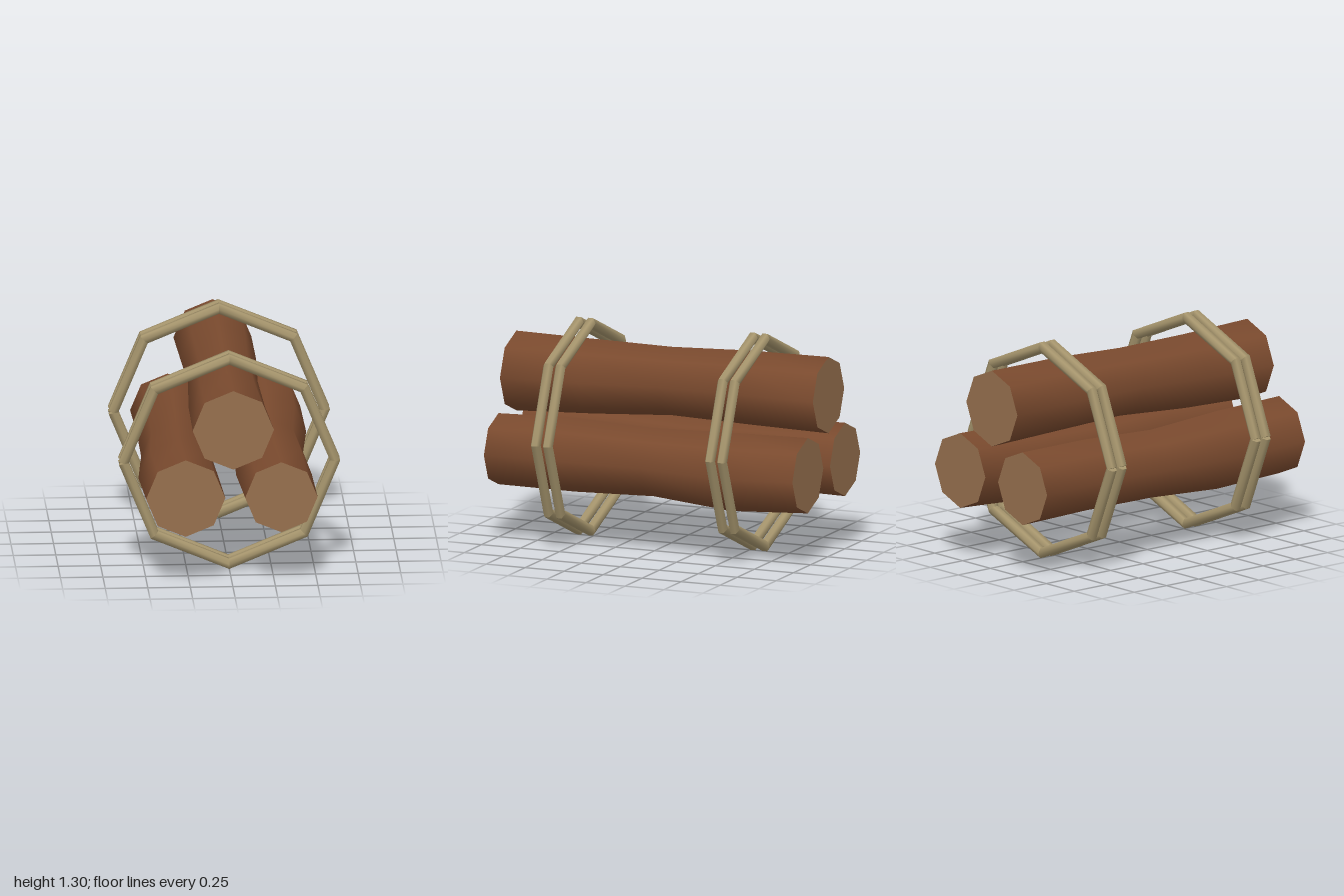
import * as THREE from 'three';
import { mergeGeometries } from 'three/addons/utils/BufferGeometryUtils.js';

const bark = new THREE.MeshStandardMaterial({ color: 0x7a4a2e });
const cutWood = new THREE.MeshStandardMaterial({ color: 0x96704e });
const rope = new THREE.MeshStandardMaterial({ color: 0xa5946c });

// Skin between closed cross-sections (arrays of Vector3, equal counts), smooth-shaded.
function loft(sections) {
  const n = sections[0].length;
  const index = [];
  for (let i = 0; i < sections.length - 1; i++) {
    for (let j = 0; j < n; j++) {
      const a = i * n + j, b = i * n + (j + 1) % n;
      index.push(a, a + n, b, a + n, b + n, b);
    }
  }
  const geo = new THREE.BufferGeometry().setFromPoints(sections.flat());
  geo.setIndex(index);
  geo.computeVertexNormals();
  return geo;
}

// Octagonal log through stations [x, y, z, radius], listed front to back.
function makeLog(name, stations) {
  const log = new THREE.Group();
  log.name = name;
  const sections = stations.map(([x, y, z, r]) =>
    Array.from({ length: 8 }, (_, k) => {
      const a = k * Math.PI / 4;
      return new THREE.Vector3(x + r * Math.cos(a), y + r * Math.sin(a), z);
    }));
  const side = new THREE.Mesh(loft(sections), bark);
  side.name = 'bark';
  log.add(side);

  // Sawn ends
  [stations[0], stations[stations.length - 1]].forEach(([x, y, z, r], i) => {
    const end = new THREE.Mesh(new THREE.CircleGeometry(r, 8), cutWood);
    end.name = i ? 'backCut' : 'frontCut';
    end.position.set(x, y, z);
    if (i) end.rotation.y = Math.PI;
    log.add(end);
  });
  return log;
}

// Eight straight hexagonal pieces, mitred at the corners, with a square-cut seam on the -x side.
function makeRopeGeometry(radius, thickness) {
  const step = Math.PI / 4, miter = 1 / Math.cos(step / 2);
  const polar = (a, r) => new THREE.Vector3(Math.cos(a) * r, Math.sin(a) * r, 0);
  const section = (corner, normalAngle, stretch) =>
    Array.from({ length: 6 }, (_, k) => {
      const a = Math.PI / 6 + k * Math.PI / 3;
      const p = polar(corner, radius).add(polar(normalAngle, thickness * Math.cos(a) * stretch));
      p.z = thickness * Math.sin(a);
      return p;
    });
  const parts = [];
  for (let i = 0; i < 8; i++) {
    const a = -Math.PI + i * step, b = a + step, mid = a + step / 2;
    const start = i === 0 ? section(a, mid, 1) : section(a, a, miter);
    const end = i === 7 ? section(b, mid, 1) : section(b, b, miter);
    parts.push(loft([start, end]));
    // Closed seam ends
    if (i === 0) parts.push(loft([start.map(() => polar(a, radius)), start]));
    if (i === 7) parts.push(loft([end, end.map(() => polar(b, radius))]));
  }
  return mergeGeometries(parts);
}

export function createModel() {
  const model = new THREE.Group();
  model.name = 'logBundle';

  // Slightly crooked logs, narrowest at the middle
  model.add(makeLog('topLog', [
    [0.003, 0.951, 0.995, 0.239],
    [-0.009, 0.956, 0.5, 0.224],
    [-0.005, 0.97, 0, 0.205],
    [-0.005, 0.973, -0.5, 0.222],
    [-0.012, 0.968, -1, 0.229],
  ]));
  model.add(makeLog('rightLog', [
    [-0.277, 0.541, 1, 0.233],
    [-0.293, 0.531, 0.5, 0.235],
    [-0.28, 0.525, 0, 0.205],
    [-0.27, 0.535, -0.5, 0.215],
    [-0.276, 0.531, -0.99, 0.22],
  ]));
  model.add(makeLog('leftLog', [
    [0.286, 0.537, 0.985, 0.213],
    [0.269, 0.539, 0.5, 0.222],
    [0.262, 0.535, 0, 0.205],
    [0.277, 0.522, -0.5, 0.235],
    [0.278, 0.54, -0.995, 0.226],
  ]));

  // Two pairs of binding loops
  const ropeGeo = makeRopeGeometry(0.622, 0.032);
  for (const side of [1, -1]) {
    for (const z of [0.52, 0.597]) {
      const loop = new THREE.Mesh(ropeGeo, rope);
      loop.name = (side > 0 ? 'front' : 'back') + 'Rope' + (z > 0.55 ? 'Outer' : 'Inner');
      loop.position.set(0, 0.653, side * z);
      model.add(loop);
    }
  }
  return model;
}
